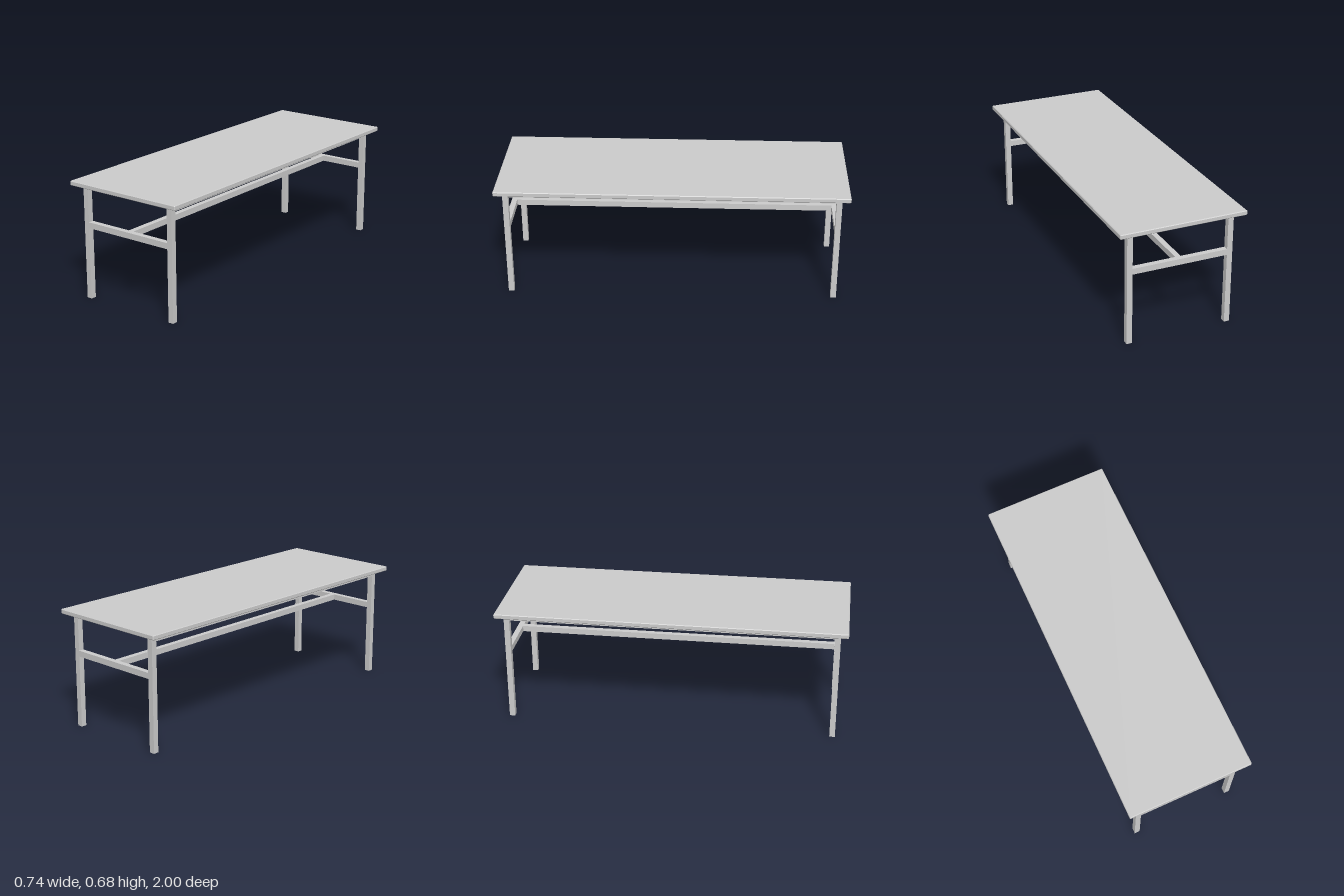
import * as THREE from 'three';

const material = new THREE.MeshStandardMaterial({ color: 0xcccccc, flatShading: true });

export function createModel() {
  const table = new THREE.Group();
  table.name = 'table';

  const halfW = 0.368, halfL = 1, height = 0.681, topT = 0.027;
  const chamfer = 0.004;
  const underside = height - topT;
  const bar = 0.032;              // square section of legs and bars
  const legX = 0.294, legZ = 0.941;
  const barY = 0.432, barH = 0.034;

  function addBox(name, w, h, d, x, y, z) {
    const mesh = new THREE.Mesh(new THREE.BoxGeometry(w, h, d), material);
    mesh.name = name;
    mesh.position.set(x, y, z);
    table.add(mesh);
  }

  // Table top: slab with every edge chamfered
  const a = halfW - chamfer, b = halfL - chamfer, c = chamfer;
  const outline = new THREE.Shape([
    [halfW, -b], [halfW, b], [a, halfL], [-a, halfL],
    [-halfW, b], [-halfW, -b], [-a, -halfL], [a, -halfL],
  ].map(([x, y]) => new THREE.Vector2(x, y)));
  const topGeometry = new THREE.ExtrudeGeometry(outline, {
    depth: topT - 2 * c, bevelEnabled: true, bevelSegments: 1,
    bevelSize: c, bevelThickness: c, bevelOffset: -c,
  });
  topGeometry.rotateX(-Math.PI / 2);
  const top = new THREE.Mesh(topGeometry, material);
  top.name = 'tableTop';
  top.position.y = underside + c;
  table.add(top);

  // Legs
  for (const [sx, side] of [[1, 'left'], [-1, 'right']]) {
    for (const [sz, end] of [[1, 'Front'], [-1, 'Back']]) {
      addBox(`${side}${end}Leg`, bar, underside, bar, sx * legX, underside / 2, sz * legZ);
    }
    // Long rail under the top
    addBox(`${side}Rail`, bar, bar, 2 * legZ - bar, sx * legX, underside - bar / 2, 0);
  }

  // Crossbars between the legs at each end
  for (const [sz, end] of [[1, 'front'], [-1, 'back']]) {
    addBox(`${end}Crossbar`, 2 * legX - bar, barH, bar, 0, barY, sz * legZ);
  }

  // Central stretcher joining the crossbars
  addBox('stretcher', bar, barH, 2 * legZ - bar, 0, barY, 0);

  return table;
}
